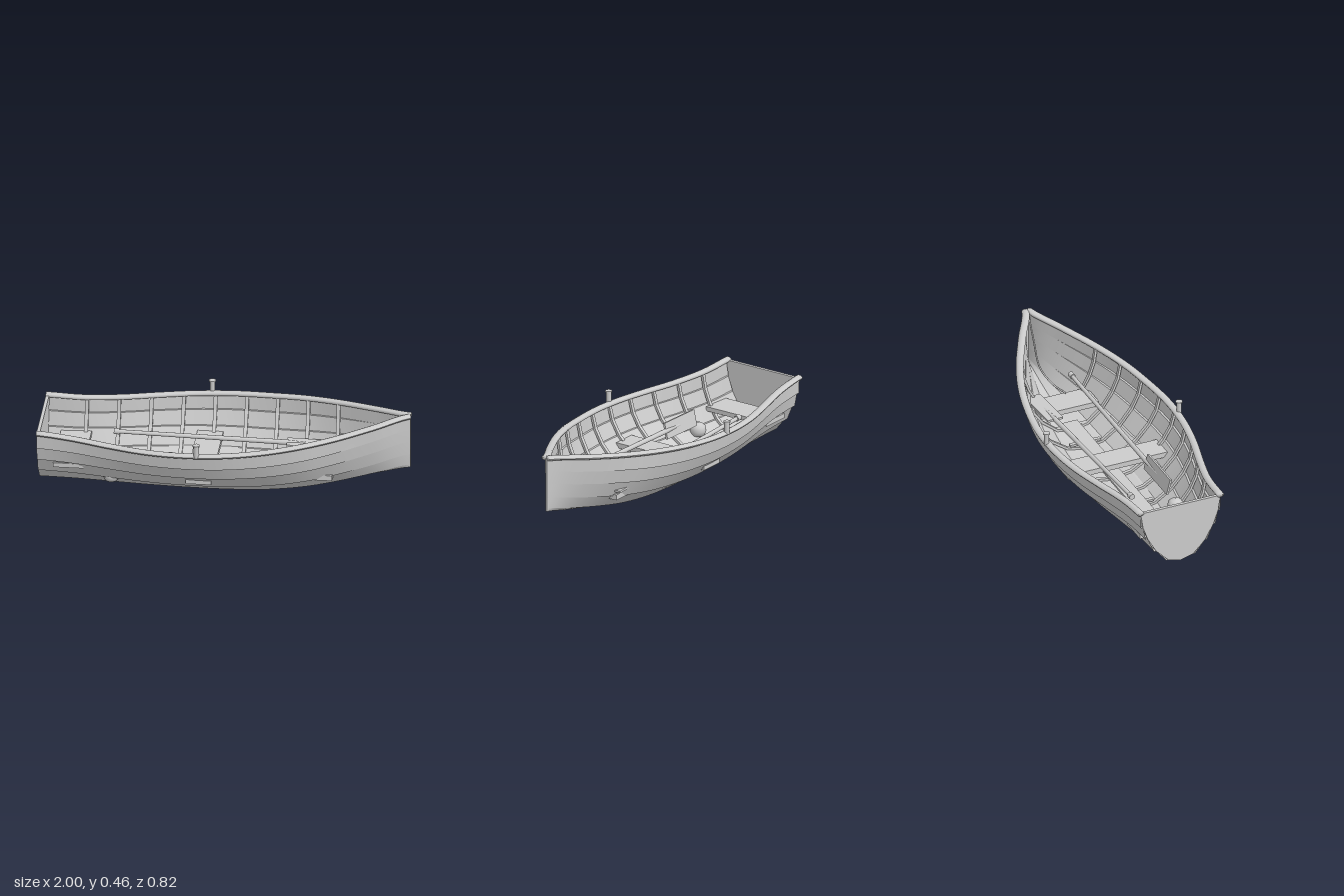
import * as THREE from 'three';

const grey = new THREE.MeshStandardMaterial({ color: 0xcccccc });
const skin = new THREE.MeshStandardMaterial({ color: 0xcccccc, side: THREE.DoubleSide });

// Hull lines, sampled every 0.2 from stern (x = -1) to bow (x = 1)
const BREADTH = [0.235, 0.25, 0.295, 0.345, 0.375, 0.378, 0.35, 0.30, 0.22, 0.115, 0.006];
const SHEER = [0.348, 0.334, 0.324, 0.323, 0.329, 0.338, 0.351, 0.371, 0.394, 0.421, 0.45];
const KEEL = [0, 0, 0, 0, 0, 0, 0.003, 0.02, 0.053, 0.095, 0.143];
// Plank edges as fractions of half breadth and of height
const EDGE_Z = [0, 0.31, 0.61, 0.82, 0.94, 1];
const EDGE_Y = [0, 0.055, 0.26, 0.51, 0.74, 1];
const BOW = 0.992;

// Smooth interpolation through an evenly spaced table
function line(table, x) {
  const u = THREE.MathUtils.clamp((x + 1) * 5, 0, 10);
  const i = Math.min(9, Math.floor(u)), t = u - i;
  const at = (k) => table[THREE.MathUtils.clamp(k, 0, 10)];
  const m0 = (at(i + 1) - at(i - 1)) / 2, m1 = (at(i + 2) - at(i)) / 2;
  const t2 = t * t, t3 = t2 * t;
  return (2 * t3 - 3 * t2 + 1) * at(i) + (t3 - 2 * t2 + t) * m0
    + (3 * t2 - 2 * t3) * at(i + 1) + (t3 - t2) * m1;
}

// One plank edge at station x; lap pushes it outward
function edge(i, x, lap = 0) {
  const fade = THREE.MathUtils.clamp((0.8 - x) / 0.3, 0, 1);
  const k = line(KEEL, x);
  return new THREE.Vector3(x, k + EDGE_Y[i] * (line(SHEER, x) - k),
    EDGE_Z[i] * line(BREADTH, x) + lap * fade);
}

// Surface through rows of equally many points
function loft(rows) {
  const n = rows[0].length, index = [];
  for (let r = 0; r < rows.length - 1; r++) {
    for (let c = 0; c < n - 1; c++) {
      const a = r * n + c, b = a + n;
      index.push(a, b, a + 1, b, b + 1, a + 1);
    }
  }
  const g = new THREE.BufferGeometry().setFromPoints(rows.flat());
  g.setIndex(index);
  g.computeVertexNormals();
  return g;
}

function add(parent, name, geometry, material = grey, x = 0, y = 0, z = 0) {
  const mesh = new THREE.Mesh(geometry, material);
  mesh.name = name;
  mesh.position.set(x, y, z);
  parent.add(mesh);
  return mesh;
}

const box = (parent, name, w, h, d, x, y, z = 0) =>
  add(parent, name, new THREE.BoxGeometry(w, h, d), grey, x, y, z);

const stations = Array.from({ length: 49 }, (_, i) => -1 + (BOW + 1) * i / 48);

// Lapped planks of one side, each with a small ledge along its lower edge
function planks(side) {
  const group = new THREE.Group();
  group.name = side > 0 ? 'frontSidePlanks' : 'backSidePlanks';
  const row = (i, lap) => stations.map((x) => {
    const p = edge(i, x, lap);
    p.z *= side;
    return p;
  });
  for (let i = 0; i < 5; i++) {
    const lap = i ? 0.012 : 0;
    add(group, 'plank', loft([row(i, lap), row(i + 1, 0)]), skin);
    if (i) add(group, 'plankLap', loft([row(i, 0), row(i, lap)]), skin);
  }
  return group;
}

// Rounded rail swept along the top edge
function rail(side) {
  const rows = stations.map((x) => {
    const slope = (line(BREADTH, x + 0.01) - line(BREADTH, x - 0.01)) / 0.02;
    const n = new THREE.Vector2(x > -0.98 ? -slope : 0, 1).normalize();
    const p = edge(5, x);
    return Array.from({ length: 11 }, (_, k) => {
      const a = k / 10 * Math.PI * 2, w = 0.021 * Math.cos(a);
      return new THREE.Vector3(Math.min(1, p.x + n.x * w), p.y + 0.014 * Math.sin(a), side * (p.z + n.y * w));
    });
  });
  const cap = (x) => rows[0].map(() => edge(5, x).multiply(new THREE.Vector3(1, 1, side)));
  return loft([cap(-1), ...rows, cap(BOW)]);
}

// Cross-section outline, from one top edge round the keel to the other
function section(x, inset = 0) {
  const half = EDGE_Z.map((_, i) => {
    const p = edge(i, x);
    return new THREE.Vector2(Math.max(0, p.z - inset * EDGE_Z[i]), p.y + inset * (1 - EDGE_Y[i]));
  });
  const mirrored = half.slice(1).map((p) => new THREE.Vector2(-p.x, p.y));
  return [...half.reverse(), ...mirrored];
}

const slab = (points, depth) => new THREE.ExtrudeGeometry(new THREE.Shape(points),
  { depth, bevelEnabled: false }).rotateY(Math.PI / 2);

// Oar laid from its handle end to its blade tip
function oar(handle, tip) {
  const group = new THREE.Group();
  group.name = 'oar';
  const dir = tip.clone().sub(handle), length = dir.length();
  const rod = (name, r0, r1, from, to) => add(group, name,
    new THREE.CylinderGeometry(r1, r0, to - from, 12).rotateZ(-Math.PI / 2), grey, (from + to) / 2);
  rod('oarGrip', 0.016, 0.016, 0, 0.03);
  rod('oarShaft', 0.011, 0.014, 0.03, length - 0.28);
  rod('oarSpine', 0.014, 0.005, length - 0.28, length - 0.11);
  box(group, 'oarBlade', 0.28, 0.012, 0.09, length - 0.14, 0);
  group.position.copy(handle);
  group.quaternion.setFromUnitVectors(new THREE.Vector3(1, 0, 0), dir.normalize());
  return group;
}

export function createModel() {
  const boat = new THREE.Group();
  boat.name = 'rowingBoat';

  // Hull, rails and oar pins on both sides
  for (const side of [1, -1]) {
    boat.add(planks(side));
    add(boat, 'rail', rail(side), skin);
    const pin = new THREE.Group();
    pin.name = 'oarPin';
    add(pin, 'pinPost', new THREE.CylinderGeometry(0.014, 0.014, 0.07, 16), grey, 0, 0.365);
    add(pin, 'pinCap', new THREE.CylinderGeometry(0.019, 0.019, 0.007, 16), grey, 0, 0.4015);
    pin.position.set(-0.12, 0, side * 0.39);
    boat.add(pin);
  }

  // Flat stern board and narrow stem post
  add(boat, 'transom', slab(section(-1), 0.018), grey, -1);
  box(boat, 'stem', 0.01, 0.3, 0.012, 0.988, 0.295);

  // Ribs following the inside of the hull
  for (let i = 0; i < 9; i++) {
    const x = -0.78 + i * 0.17;
    const cut = x > -0.1 ? x + 0.01 : x - 0.01;
    add(boat, 'rib', slab([...section(cut), ...section(cut, 0.014).reverse()], 0.02), grey, x - 0.01);
  }

  // Benches
  box(boat, 'sternBench', 0.165, 0.025, 0.4, -0.832, 0.147);
  box(boat, 'middleBench', 0.14, 0.03, 0.58, -0.12, 0.135);
  box(boat, 'bowBench', 0.155, 0.03, 0.34, 0.51, 0.135);

  // Floor plank on short cross bars
  box(boat, 'floorPlank', 1.2, 0.012, 0.09, -0.16, 0.056);
  for (const x of [-0.44, 0.005, 0.24, 0.42]) box(boat, 'floorBar', 0.022, 0.012, 0.18, x, 0.045);

  // Pair of oars lying across the benches
  boat.add(oar(new THREE.Vector3(-0.62, 0.21, -0.112), new THREE.Vector3(0.59, 0.172, -0.15)));
  boat.add(oar(new THREE.Vector3(0.66, 0.21, 0.105), new THREE.Vector3(-0.555, 0.172, 0.135)));

  // Round float resting on the planks
  const float = [[0, 0], [0.036, 0], [0.045, 0.025], [0.041, 0.05], [0.025, 0.065], [0, 0.07]];
  add(boat, 'float', new THREE.LatheGeometry(float.map(([r, y]) => new THREE.Vector2(r, y)), 24),
    grey, -0.605, 0.055, 0.15);

  // Mooring rope from the bow to the front bench
  const path = new THREE.CatmullRomCurve3([
    new THREE.Vector3(0.97, 0.43, 0), new THREE.Vector3(0.88, 0.33, -0.012),
    new THREE.Vector3(0.78, 0.22, -0.022), new THREE.Vector3(0.68, 0.165, 0.005),
    new THREE.Vector3(0.57, 0.155, 0.04)]);
  add(boat, 'rope', new THREE.TubeGeometry(path, 32, 0.005, 8));

  return boat;
}
